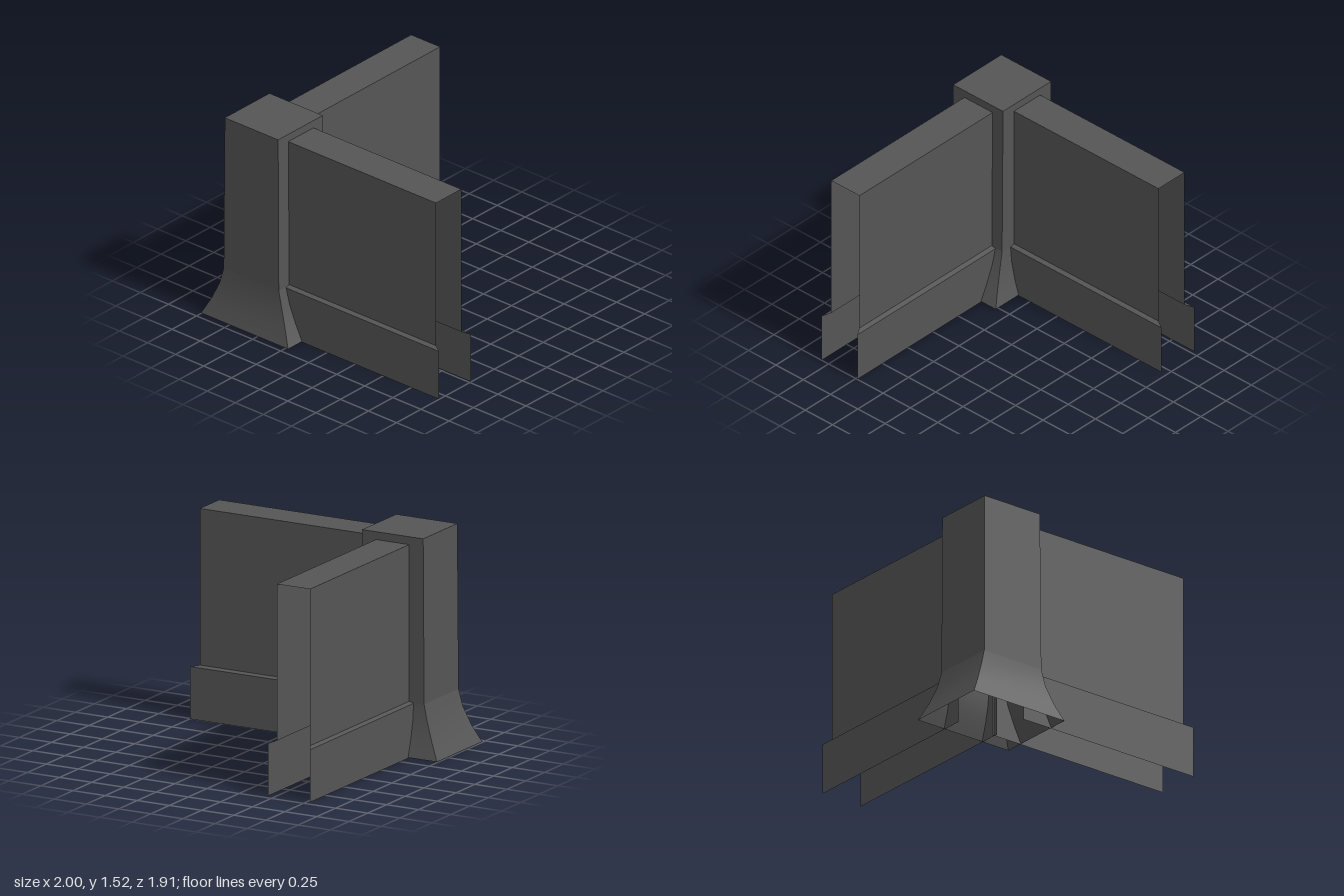
import * as THREE from 'three';

const stone = new THREE.MeshStandardMaterial({ color: 0x555555, side: THREE.DoubleSide });
stone.name = 'darkStone';

// Smooth surface through rows of points, all rows the same length
function grid(rows) {
  const n = rows[0].length, index = [];
  for (let r = 0; r < rows.length - 1; r++) {
    for (let c = 0; c < n - 1; c++) {
      const a = r * n + c, b = a + 1, d = a + n, e = d + 1;
      index.push(a, b, e, a, e, d);
    }
  }
  const geo = new THREE.BufferGeometry();
  geo.setAttribute('position', new THREE.Float32BufferAttribute(rows.flat(2), 3));
  geo.setIndex(index);
  geo.computeVertexNormals();
  return geo;
}

function addMesh(parent, name, geo) {
  const mesh = new THREE.Mesh(geo, stone);
  mesh.name = name;
  parent.add(mesh);
}

// Hollow wall, open at its end and underside, running along +x from the origin
function makeWall(name) {
  const wall = new THREE.Group();
  wall.name = name;
  // z, y, end x
  const section = [
    [0.163, 0, 1.462], [0.163, 0.365, 1.462], [0.129, 0.375, 1.404], [0.129, 1.465, 1.404],
    [-0.129, 1.465, 1.404], [-0.129, 0.375, 1.404], [-0.163, 0.365, 1.462], [-0.163, 0, 1.462],
  ];
  const parts = ['skirt', 'ledge', 'panel', 'wallTop', 'panel', 'ledge', 'skirt'];
  parts.forEach((part, i) => {
    const rows = [section[i], section[i + 1]].map(([z, y, end]) => [[0, y, z], [end, y, z]]);
    addMesh(wall, part, grid(rows));
  });
  return wall;
}

// Square pillar on a flared foot, open underneath
function makePillar() {
  const pillar = new THREE.Group();
  pillar.name = 'cornerPillar';
  // y, left x, right x, back z, front z
  const levels = [
    [0.005, -1, -0.223, 0.352, 0.955],
    [0.12, -0.941, -0.28, 0.388, 0.919],
    [0.25, -0.888, -0.334, 0.416, 0.892],
    [0.37, -0.857, -0.366, 0.426, 0.886],
    [1.52, -0.85, -0.375, 0.426, 0.882],
  ];
  const corners = levels.map(([y, x0, x1, z0, z1]) =>
    [[x0, y, z1], [x1, y, z1], [x1, y, z0], [x0, y, z0]]);
  for (let s = 0; s < 4; s++) {
    const side = corners.map((c) => [c[s], c[(s + 1) % 4]]);
    addMesh(pillar, 'pillarFoot', grid(side.slice(0, 4)));
    addMesh(pillar, 'pillarShaft', grid(side.slice(3)));
  }
  const top = corners[4];
  addMesh(pillar, 'pillarTop', grid([[top[0], top[1]], [top[3], top[2]]]));
  return pillar;
}

export function createModel() {
  const model = new THREE.Group();
  model.name = 'wallCorner';
  model.add(makePillar());

  const sideWall = makeWall('sideWall');
  sideWall.position.set(-0.462, 0, 0.65);
  model.add(sideWall);

  const backWall = makeWall('backWall');
  backWall.position.set(-0.612, 0, 0.507);
  backWall.rotation.y = Math.PI / 2;
  model.add(backWall);
  return model;
}
